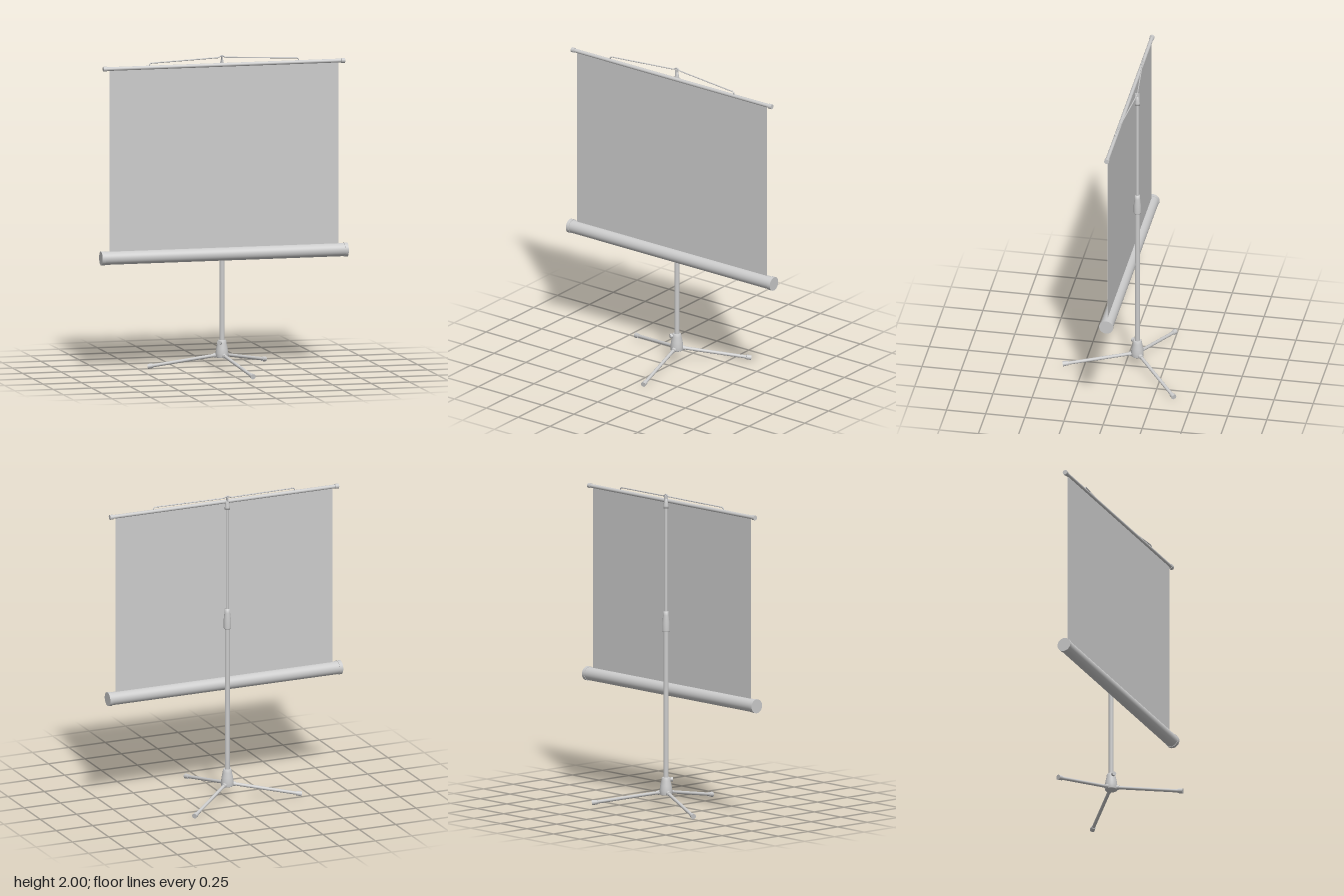
import * as THREE from 'three';

const material = new THREE.MeshStandardMaterial({ color: 0xcccccc });
const POLE_Z = -0.08;
const SCREEN_Z = -0.029;
const V = (x, y, z) => new THREE.Vector3(x, y, z);

function add(parent, name, geometry) {
  const mesh = new THREE.Mesh(geometry, material);
  mesh.name = name;
  parent.add(mesh);
  return mesh;
}

// Closed cylinder between two points, optionally tapered
function rod(parent, name, a, b, r0, r1 = r0, sides = 24) {
  const d = b.clone().sub(a);
  const mesh = add(parent, name, new THREE.CylinderGeometry(r1, r0, d.length(), sides));
  mesh.position.copy(a).add(b).multiplyScalar(0.5);
  mesh.quaternion.setFromUnitVectors(V(0, 1, 0), d.normalize());
  return mesh;
}

// Turned part around the pole axis; profile is a list of [radius, y]
function turned(parent, name, profile) {
  const pts = profile.map(([r, y]) => new THREE.Vector2(r, y));
  const mesh = add(parent, name, new THREE.LatheGeometry(pts, 28));
  mesh.position.z = POLE_Z;
  return mesh;
}

export function createModel() {
  const model = new THREE.Group();
  model.name = 'projectionScreen';

  // Tripod: hub, clamp knob and three splayed legs
  const tripod = new THREE.Group();
  tripod.name = 'tripod';
  model.add(tripod);
  turned(tripod, 'hub', [
    [0, 0.08], [0.036, 0.08], [0.04, 0.084], [0.04, 0.11], [0.036, 0.14],
    [0.029, 0.172], [0.027, 0.188], [0.022, 0.192], [0, 0.192],
  ]);
  rod(tripod, 'clampScrew', V(0, 0.178, POLE_Z), V(-0.022, 0.178, -0.052), 0.007);
  rod(tripod, 'clampKnob', V(-0.018, 0.178, -0.057), V(-0.028, 0.178, -0.045), 0.014);
  for (let i = 0; i < 3; i++) {
    const angle = THREE.MathUtils.degToRad(80 + i * 120);
    const at = (r, y) => V(Math.cos(angle) * r, y, POLE_Z + Math.sin(angle) * r);
    const leg = new THREE.Group();
    leg.name = 'leg';
    tripod.add(leg);
    rod(leg, 'legSocket', at(0.015, 0.098), at(0.052, 0.091), 0.016, 0.014);
    rod(leg, 'legTube', at(0.03, 0.095), at(0.45, 0.019), 0.0105);
    rod(leg, 'foot', at(0.435, 0.0215), at(0.468, 0.0165), 0.014, 0.0165);
  }

  // Telescopic pole
  const pole = new THREE.Group();
  pole.name = 'pole';
  model.add(pole);
  rod(pole, 'lowerPole', V(0, 0.15, POLE_Z), V(0, 1.16, POLE_Z), 0.016);
  turned(pole, 'poleCollar', [
    [0, 1.12], [0.022, 1.12], [0.023, 1.125], [0.023, 1.18],
    [0.018, 1.225], [0.016, 1.25], [0, 1.25],
  ]);
  rod(pole, 'upperPole', V(0, 1.15, POLE_Z), V(0, 1.93, POLE_Z), 0.0095);
  turned(pole, 'poleHead', [
    [0, 1.908], [0.016, 1.908], [0.016, 1.922], [0.013, 1.945], [0.008, 1.968], [0, 1.968],
  ]);
  const plate = add(pole, 'hangerPlate', new THREE.BoxGeometry(0.008, 0.06, 0.026));
  plate.position.set(0, 1.96, POLE_Z);

  // Screen sheet, roller casing and top bar
  const sheet = add(model, 'screenSheet', new THREE.BoxGeometry(1.49, 1.2, 0.002));
  sheet.position.set(0, 1.345, SCREEN_Z);
  const across = (name, x0, x1, y, r) =>
    rod(model, name, V(x0, y, SCREEN_Z), V(x1, y, SCREEN_Z), r, r, 36);
  across('casing', -0.79, 0.79, 0.743, 0.0415);
  across('topBar', -0.78, 0.78, 1.943, 0.012);
  for (const s of [-1, 1]) {
    across('casingCap', s * 0.778, s * 0.8, 0.743, 0.0445);
    across('topBarCap', s * 0.762, s * 0.785, 1.943, 0.0155);
  }

  // Bent wire hanger hooked over the pole head
  const half = [
    [0.485, 1.945, SCREEN_Z], [0.485, 1.962, SCREEN_Z], [0.475, 1.97, SCREEN_Z - 0.001],
    [0.025, 1.983, POLE_Z + 0.003], [0.012, 1.989, POLE_Z],
  ];
  const points = [
    ...half.map(([x, y, z]) => V(-x, y, z)),
    V(0, 1.996, POLE_Z),
    ...half.reverse().map(([x, y, z]) => V(x, y, z)),
  ];
  const wire = new THREE.CurvePath();
  for (let i = 1; i < points.length; i++) wire.add(new THREE.LineCurve3(points[i - 1], points[i]));
  add(model, 'wireHanger', new THREE.TubeGeometry(wire, 240, 0.004, 8));

  return model;
}
